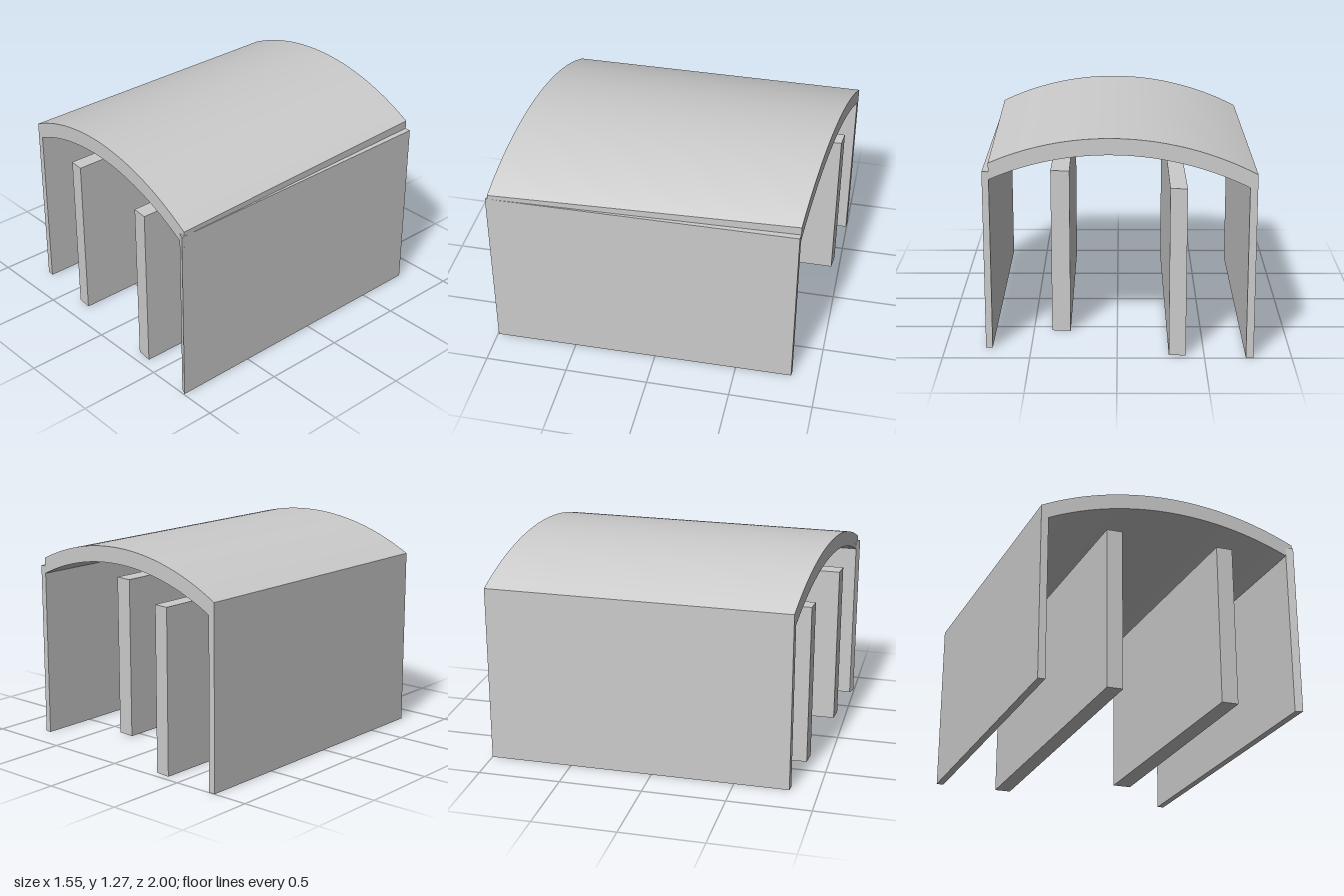
import * as THREE from 'three';

const material = new THREE.MeshStandardMaterial({ color: 0xcccccc });

// The plan is skewed: both ends slant along x
const frontZ = (x) => 0.905 + 0.096 * x;
const backZ = (x) => -0.919 + 0.104 * x;
const lerp = THREE.MathUtils.lerp;

// Upright slab from its plan corners [x, z], standing on the ground
function slab(name, corners, height) {
  const plan = new THREE.Shape(corners.map(([x, z]) => new THREE.Vector2(x, -z)));
  const geometry = new THREE.ExtrudeGeometry(plan, { depth: height, bevelEnabled: false });
  geometry.rotateX(-Math.PI / 2);
  const mesh = new THREE.Mesh(geometry, material);
  mesh.name = name;
  return mesh;
}

// Height of a circular arc at x
const arc = (x, top, radius) => top - radius + Math.sqrt(radius * radius - x * x);

// Vaulted roof: a subdivided box bent to the arcs, narrowing to the back on the right
function vaultedRoof() {
  const geometry = new THREE.BoxGeometry(2, 1, 1, 48, 1, 1);
  const p = geometry.attributes.position;
  for (let i = 0; i < p.count; i++) {
    const isFront = p.getZ(i) > 0;
    const x = lerp(-0.78, isFront ? 0.775 : 0.727, (p.getX(i) + 1) / 2);
    const y = p.getY(i) > 0 ? arc(x, 1.27, 1.737) : arc(x, 1.175, 1.72);
    p.setXYZ(i, x, y, isFront ? frontZ(x) : backZ(x));
  }
  geometry.computeVertexNormals();
  const mesh = new THREE.Mesh(geometry, material);
  mesh.name = 'vaultedRoof';
  return mesh;
}

export function createModel() {
  const group = new THREE.Group();
  group.name = 'vaultedShelter';

  group.add(vaultedRoof());

  // Left outer wall, meeting the underside of the roof
  group.add(slab('leftWall', [
    [-0.78, frontZ(-0.78)], [-0.737, frontZ(-0.737)],
    [-0.737, backZ(-0.737)], [-0.78, backZ(-0.78)],
  ], 1.01));

  // Right outer wall, slightly turned, its top showing as a ledge towards the back
  group.add(slab('rightWall', [
    [0.733, 0.976], [0.775, 0.995], [0.764, -0.84], [0.725, -0.843],
  ], 1.06));

  // Inner partitions, free of the roof; the right one stops short of the back
  group.add(slab('leftPartition', [
    [-0.388, frontZ(-0.388)], [-0.295, frontZ(-0.295)],
    [-0.297, backZ(-0.297)], [-0.394, backZ(-0.394)],
  ], 0.993));
  group.add(slab('rightPartition', [
    [0.288, frontZ(0.288)], [0.386, frontZ(0.386)], [0.391, -0.56], [0.28, -0.57],
  ], 0.993));

  return group;
}
